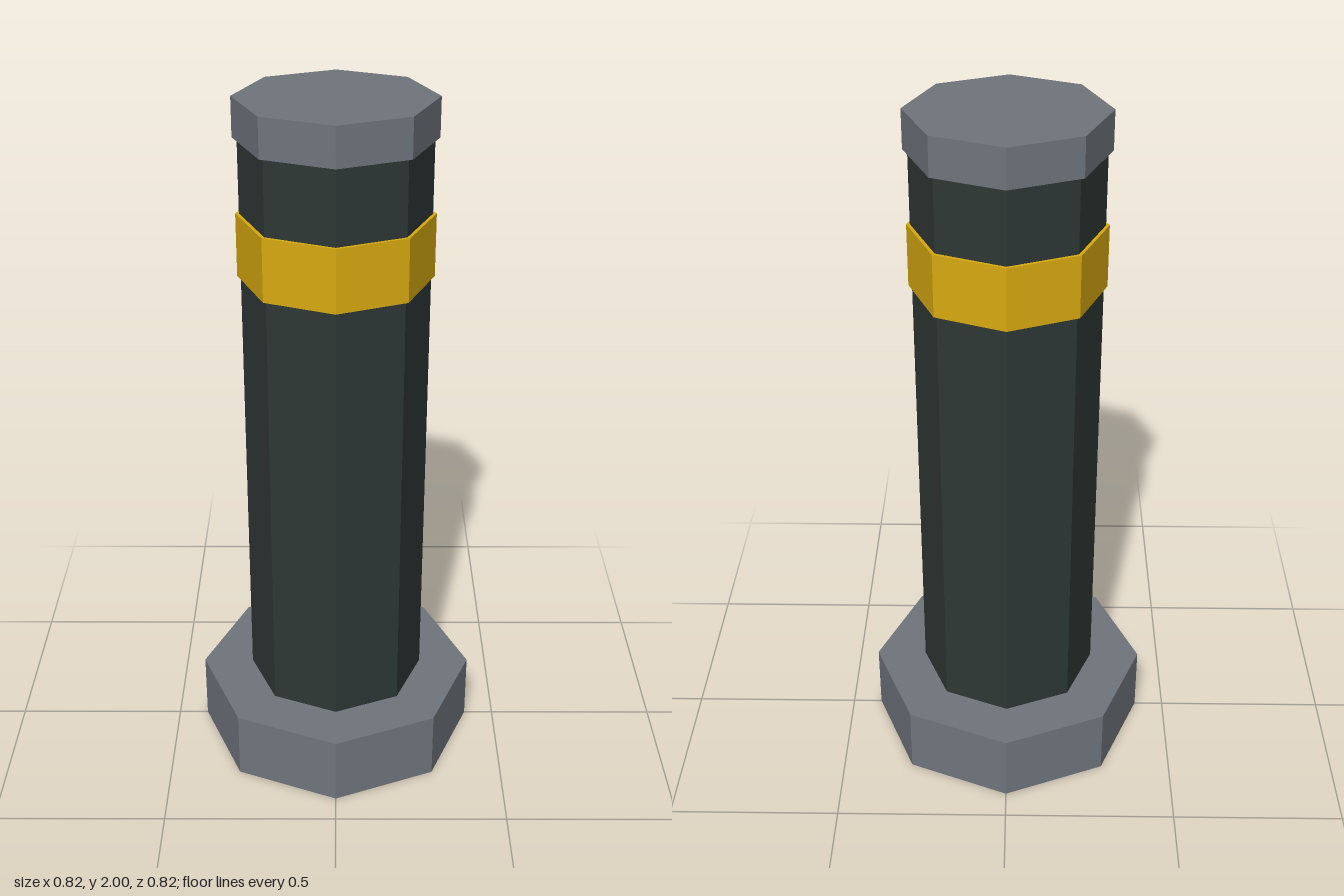
import * as THREE from 'three';

const paint = (name, color) => {
  const material = new THREE.MeshStandardMaterial({ color, flatShading: true });
  material.name = name;
  return material;
};

export function createModel() {
  const group = new THREE.Group();
  group.name = 'bollard';
  const grey = paint('steel grey', 0x70757d);
  const dark = paint('dark charcoal', 0x2e3836);
  const yellow = paint('warning yellow', 0xd8aa10);

  // Eight-sided prism with corners on the x and z axes
  const prism = (name, radius, bottom, top, material) => {
    const geometry = new THREE.CylinderGeometry(radius, radius, top - bottom, 8);
    const mesh = new THREE.Mesh(geometry, material);
    mesh.name = name;
    mesh.position.y = (bottom + top) / 2;
    group.add(mesh);
  };

  prism('base', 0.412, 0, 0.205, grey);
  prism('post', 0.262, 0.2, 1.9, dark);
  prism('band', 0.272, 1.5, 1.68, yellow);
  prism('cap', 0.275, 1.89, 2, grey);

  return group;
}
